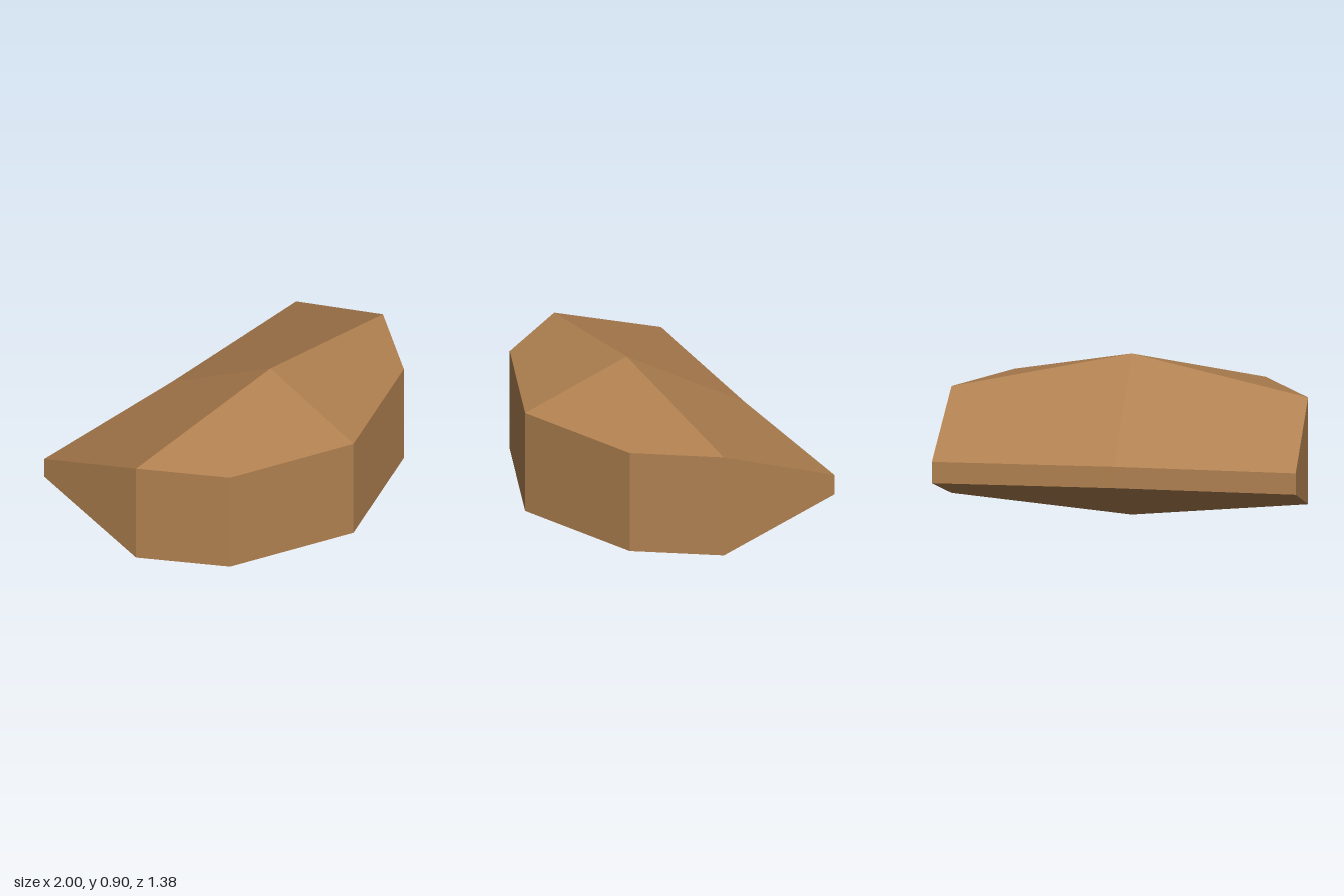
import * as THREE from 'three';

const CENTRE = new THREE.Vector3(0, 0.4, 0);

// One flat-shaded panel: a fan from its first corner, always facing outwards.
function panelGeometry(corners) {
  let pts = corners.map((c) => new THREE.Vector3(...c));
  const normal = new THREE.Vector3();
  const middle = new THREE.Vector3();
  pts.forEach((p, i) => {
    normal.add(new THREE.Vector3().crossVectors(p, pts[(i + 1) % pts.length]));
    middle.addScaledVector(p, 1 / pts.length);
  });
  normal.normalize();
  if (normal.dot(middle.sub(CENTRE)) < 0) {
    normal.negate();
    pts = [pts[0], ...pts.slice(1).reverse()];
  }
  const index = [];
  for (let i = 1; i < pts.length - 1; i++) index.push(0, i, i + 1);
  const geometry = new THREE.BufferGeometry().setFromPoints(pts);
  geometry.setAttribute('normal', new THREE.Float32BufferAttribute(pts.flatMap(() => normal.toArray()), 3));
  geometry.setIndex(index);
  return geometry;
}

export function createModel() {
  const model = new THREE.Group();
  model.name = 'facetedBlock';
  const brown = new THREE.MeshStandardMaterial({ color: 0xb08050 });
  brown.name = 'brown';

  // Builds a panel on the +x half and its mirror image
  const addPair = (name, corners) => {
    for (const side of [1, -1]) {
      const mesh = new THREE.Mesh(panelGeometry(corners.map(([x, y, z]) => [x * side, y, z])), brown);
      mesh.name = name + (side > 0 ? 'Left' : 'Right');
      model.add(mesh);
    }
  };

  // Matching corners of the upper and lower shells
  const shell = (peakY, rimY, backY) => ({
    peak: [0, peakY, 0.06],
    nose: [0, rimY, 0.685],
    cheek: [0.69, rimY, 0.41],
    shoulder: [0.98, rimY, -0.02],
    tail: [1, backY, -0.69],
    tailMiddle: [0, backY, -0.672],
  });
  const top = shell(0.905, 0.71, 0.45);
  const bottom = shell(0, 0.11, 0.33);

  // Sloping caps above and below
  for (const [label, s] of [['top', top], ['bottom', bottom]]) {
    addPair(label + 'FrontSlope', [s.peak, s.nose, s.cheek, s.shoulder]);
    addPair(label + 'BackSlope', [s.shoulder, s.tail, s.tailMiddle, s.peak]);
  }

  // Upright walls around the outline
  const outline = ['nose', 'cheek', 'shoulder', 'tail', 'tailMiddle'];
  const walls = ['frontWall', 'cornerWall', 'sideWall', 'backWall'];
  walls.forEach((name, i) => {
    const a = outline[i], b = outline[i + 1];
    addPair(name, [bottom[a], bottom[b], top[b], top[a]]);
  });

  return model;
}
